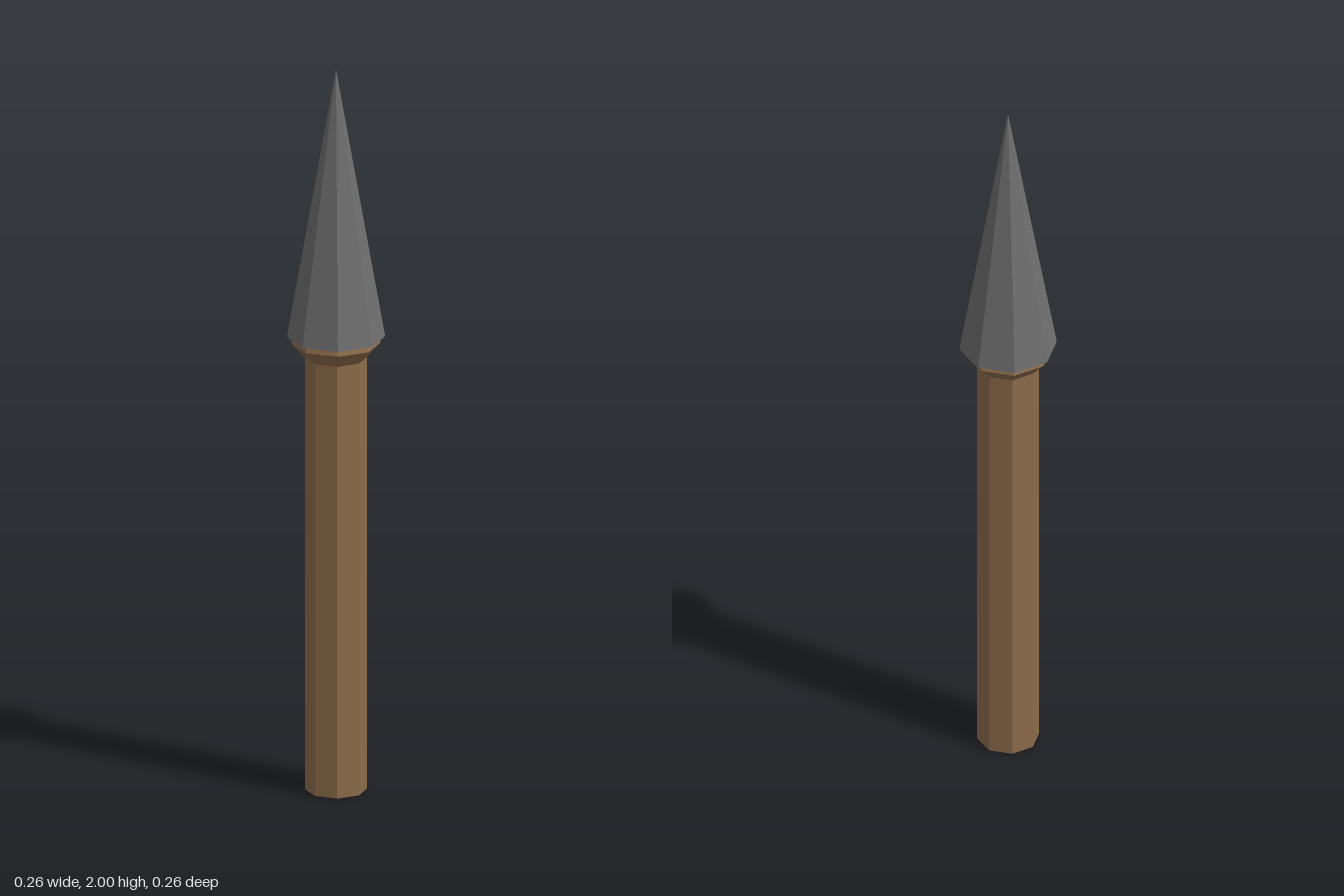
import * as THREE from 'three';

const SIDES = 8;

// Eight-sided tapered section standing between two heights
function section(name, rBottom, rTop, y0, y1, color, open = false) {
  const geometry = new THREE.CylinderGeometry(rTop, rBottom, y1 - y0, SIDES, 1, open);
  geometry.translate(0, (y0 + y1) / 2, 0);
  const mesh = new THREE.Mesh(geometry, new THREE.MeshStandardMaterial({ color, flatShading: true }));
  mesh.name = name;
  return mesh;
}

export function createModel() {
  const wood = 0x8b6b4a;
  const metal = 0x6e6e6e;
  const model = new THREE.Group();
  model.name = 'spear';

  // Wooden shaft with a flared collar under the head
  model.add(section('shaft', 0.082, 0.082, 0, 1.2, wood));
  model.add(section('collarFlare', 0.082, 0.118, 1.2, 1.24, wood, true));
  model.add(section('collarRim', 0.118, 0.112, 1.24, 1.257, wood, true));

  // Pointed metal head, closed underneath
  model.add(section('spearhead', 0.13, 0, 1.257, 2, metal));

  return model;
}
